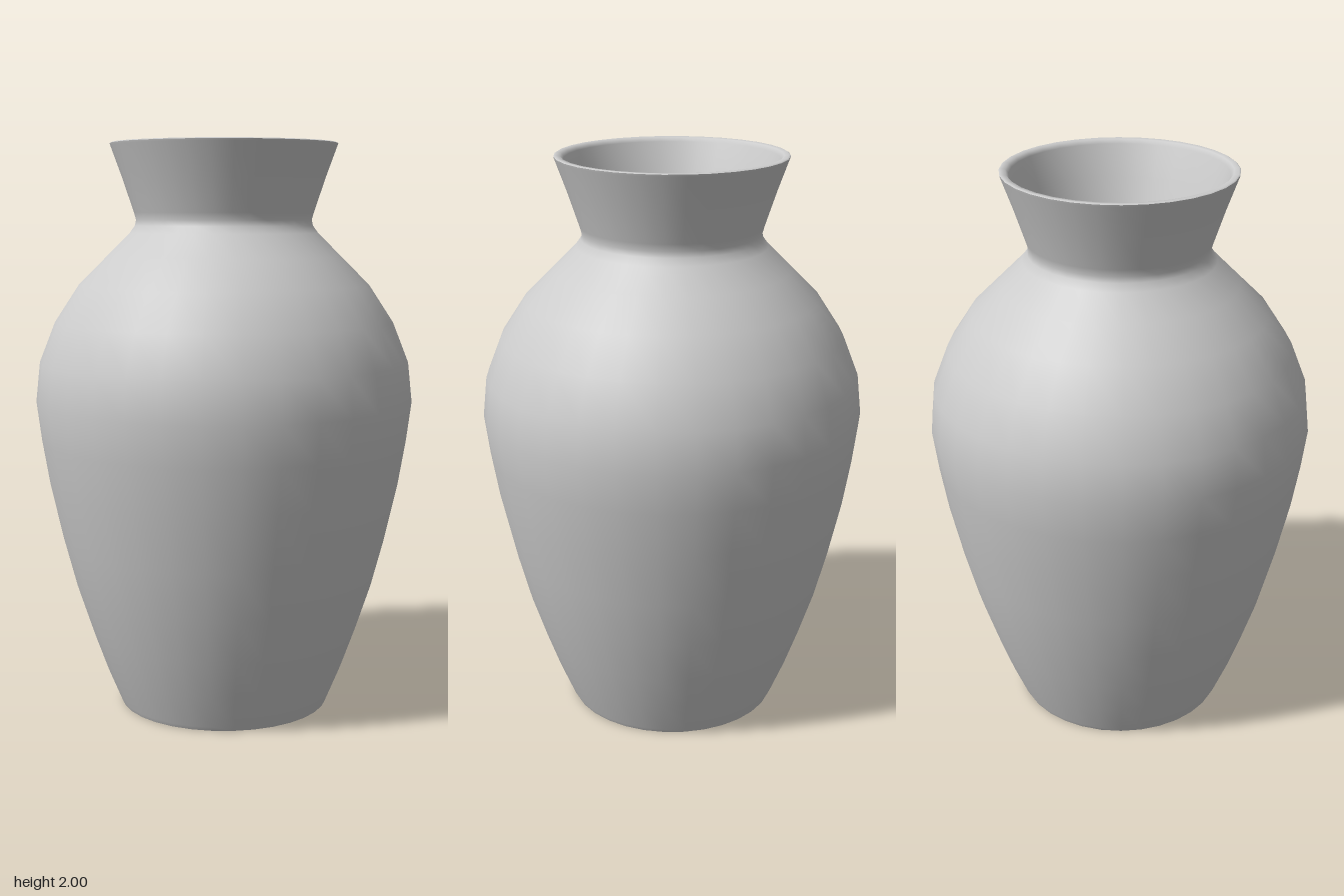
import * as THREE from 'three';

const SEGMENTS = 32;

export function createModel() {
  const vase = new THREE.Group();
  vase.name = 'vase';
  const clay = new THREE.MeshStandardMaterial({ color: 0xcccccc });
  clay.name = 'grey clay';

  const lathe = (name, profile) => {
    const points = profile.map(([r, y]) => new THREE.Vector2(r, y));
    const mesh = new THREE.Mesh(new THREE.LatheGeometry(points, SEGMENTS), clay);
    mesh.name = name;
    vase.add(mesh);
  };

  // Outer wall, from the foot over the shoulder to the flared lip
  lathe('outerWall', [
    [0.37, 0], [0.378, 0.015], [0.43, 0.14], [0.477, 0.27], [0.53, 0.43],
    [0.575, 0.6], [0.62, 0.8], [0.647, 0.96], [0.665, 1.1], [0.65, 1.24],
    [0.595, 1.38], [0.51, 1.51], [0.41, 1.61], [0.33, 1.69], [0.312, 1.715],
    [0.308, 1.735], [0.315, 1.76], [0.355, 1.88], [0.395, 1.99], [0.397, 1.997],
  ]);

  // Rounded lip and inner wall, running down into the hollow body
  lathe('lipAndInnerWall', [
    [0.397, 1.997], [0.392, 2], [0.375, 1.998], [0.365, 1.985], [0.33, 1.88],
    [0.29, 1.765], [0.284, 1.735], [0.288, 1.71], [0.305, 1.68], [0.385, 1.595],
    [0.487, 1.495], [0.57, 1.37], [0.623, 1.235], [0.638, 1.1], [0.62, 0.96],
    [0.594, 0.8], [0.548, 0.6], [0.503, 0.43], [0.45, 0.27], [0.403, 0.14],
    [0.365, 0.04],
  ]);

  // Flat floor inside and flat underside
  lathe('innerFloor', [[0.365, 0.04], [0, 0.04]]);
  lathe('underside', [[0, 0], [0.37, 0]]);

  return vase;
}
